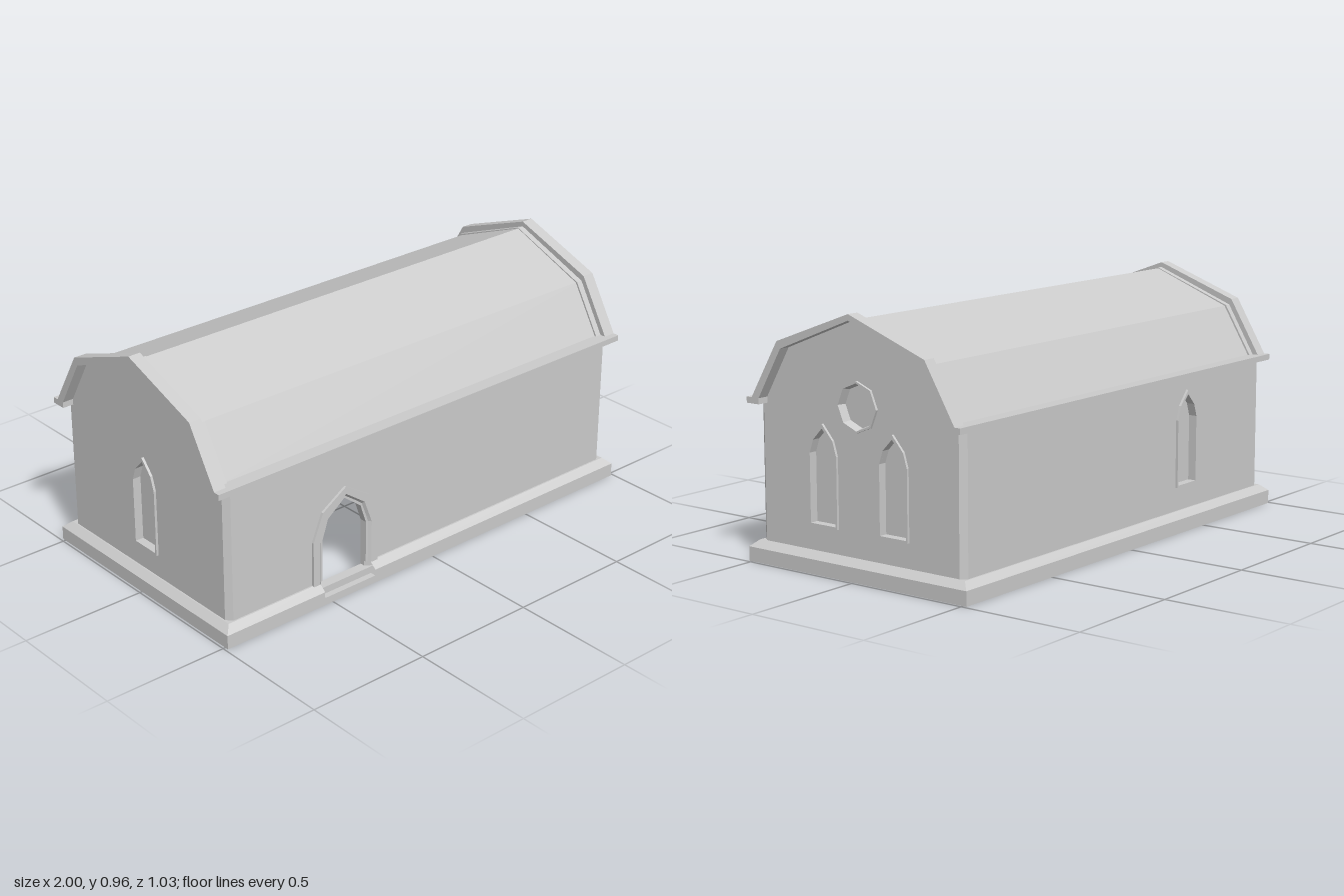
import * as THREE from 'three';

const material = new THREE.MeshStandardMaterial({ color: 0xcccccc, flatShading: true, side: THREE.DoubleSide });

const WALL = { x: 0.955, z: 0.48, base: 0.08, top: 0.6, thick: 0.03 };
const DOOR_X = -0.415;

function add(parent, name, geometry) {
  const mesh = new THREE.Mesh(geometry, material);
  mesh.name = name;
  parent.add(mesh);
  return mesh;
}

const toShape = (pts) => new THREE.Shape(pts.map(([x, y]) => new THREE.Vector2(x, y)));

function extrude(pts, depth, holes = []) {
  const shape = toShape(pts);
  shape.holes = holes.map((h) => toShape(h));
  return new THREE.ExtrudeGeometry(shape, { depth, bevelEnabled: false });
}

// Skin a list of matching point loops
function loft(loops, closed) {
  const pos = [];
  const n = loops[0].length;
  for (let i = 0; i < loops.length - 1; i++) {
    for (let j = 0; j < (closed ? n : n - 1); j++) {
      const k = (j + 1) % n;
      const [a, b, c, d] = [loops[i][j], loops[i][k], loops[i + 1][k], loops[i + 1][j]];
      pos.push(...a, ...b, ...c, ...a, ...c, ...d);
    }
  }
  const geometry = new THREE.BufferGeometry();
  geometry.setAttribute('position', new THREE.Float32BufferAttribute(pos, 3));
  geometry.computeVertexNormals();
  return geometry;
}

// Pointed arch, from the right foot over the peak to the left foot
const arch = (cx, w, foot, spring, m, my, peak) => [
  [cx + w, foot], [cx + w, spring], [cx + m, my], [cx, peak],
  [cx - m, my], [cx - w, spring], [cx - w, foot],
];

const lancet = (cx) => ({
  name: 'lancetWindow',
  outer: arch(cx, 0.0675, 0.173, 0.44, 0.05, 0.495, 0.552),
  inner: arch(cx, 0.06, 0.182, 0.44, 0.043, 0.49, 0.535),
});

const octagon = (r) => Array.from({ length: 8 }, (_, i) => {
  const a = (i * Math.PI) / 4 + Math.PI / 2;
  return [r * Math.cos(a), 0.63 + r * Math.sin(a)];
});
const rose = { name: 'roundWindow', outer: octagon(0.094), inner: octagon(0.086), back: octagon(0.078) };

const atDepth = (pts, z) => pts.map(([x, y]) => [x, y, z]);

// Wall whose outer face is local z = 0, with framed and glazed windows
function wall(name, outline, windows) {
  const group = new THREE.Group();
  group.name = name;
  const t = WALL.thick;
  add(group, 'wallPanel', extrude(outline, t, windows.map((w) => w.inner))).position.z = -t;
  for (const w of windows) {
    const back = w.back || w.inner;
    add(group, w.name + 'Frame', loft([
      atDepth(w.outer, 0), atDepth(w.outer, 0.01), atDepth(w.inner, 0.01), atDepth(back, -t),
    ], true));
    add(group, w.name + 'Pane', new THREE.ShapeGeometry(toShape(w.inner))).position.z = -0.024;
  }
  return group;
}

export function createModel() {
  const model = new THREE.Group();
  model.name = 'gambrelHall';

  // Front wall with the door cut out of its lower edge
  const opening = arch(DOOR_X, 0.105, WALL.base, 0.25, 0.078, 0.33, 0.39);
  const sideX = 0.935;
  const sideTop = [[sideX, WALL.base], [sideX, WALL.top], [-sideX, WALL.top], [-sideX, WALL.base]];
  const front = wall('frontWall', [...sideTop, ...[...opening].reverse()], []);
  front.position.z = WALL.z;
  model.add(front);

  // Door frame: flat outer band, then a splayed reveal
  const band = arch(DOOR_X, 0.155, 0.075, 0.26, 0.11, 0.37, 0.44);
  const step = arch(DOOR_X, 0.125, 0.06, 0.25, 0.09, 0.345, 0.41);
  const jamb = arch(DOOR_X, 0.105, 0.06, 0.25, 0.078, 0.33, 0.39);
  add(front, 'doorFrame', loft([
    atDepth(band, 0), atDepth(band, 0.01), atDepth(step, 0.01), atDepth(jamb, -0.01), atDepth(jamb, -WALL.thick),
  ], false));

  // Back wall
  const back = wall('backWall', sideTop, [lancet(-DOOR_X)]);
  back.position.z = -WALL.z;
  back.rotation.y = Math.PI;
  model.add(back);

  // Gable walls
  const gable = [
    [-0.457, WALL.base], [0.457, WALL.base], [0.457, 0.61], [0.335, 0.815],
    [0, 0.945], [-0.335, 0.815], [-0.457, 0.61],
  ];
  for (const s of [1, -1]) {
    const windows = s > 0 ? [lancet(0.165), lancet(-0.165), rose] : [lancet(0)];
    const end = wall(s > 0 ? 'leftGable' : 'rightGable', gable, windows);
    end.position.x = s * WALL.x;
    end.rotation.y = (s * Math.PI) / 2;
    model.add(end);
  }

  // Chamfered wall corners
  for (const sx of [1, -1]) {
    for (const sz of [1, -1]) {
      const pts = [[0.925, 0.45], [0.955, 0.457], [0.935, 0.48]].map(([x, z]) => [sx * x, -sz * z]);
      const corner = add(model, 'wallCorner', extrude(pts, WALL.top - WALL.base));
      corner.rotation.x = -Math.PI / 2;
      corner.position.y = WALL.base;
    }
  }

  // Gambrel roof and gable parapets: mirrored half profiles run along x
  const mirrored = (outer, inner) => {
    const flip = (pts) => pts.map(([x, y]) => [-x, y]);
    return [
      ...outer, ...[...inner].reverse(), ...flip(inner).slice(1), ...flip(outer).reverse().slice(0, -1),
    ];
  };
  const alongX = (name, pts, x0, x1) => {
    const mesh = add(model, name, extrude(pts, x1 - x0));
    mesh.rotation.y = Math.PI / 2;
    mesh.position.x = x0;
  };
  const roof = mirrored(
    [[0, 0.942], [0.328, 0.812], [0.443, 0.62], [0.5, 0.62], [0.5, 0.597]],
    [[0, 0.915], [0.31, 0.79], [0.425, 0.597]],
  );
  alongX('roof', roof, -0.951, 0.951);
  const parapet = mirrored(
    [[0, 0.965], [0.345, 0.838], [0.475, 0.62], [0.5, 0.62], [0.5, 0.597]],
    [[0, 0.942], [0.328, 0.812], [0.44, 0.62], [0.44, 0.597]],
  );
  alongX('leftParapet', parapet, 0.95, 1);
  alongX('rightParapet', parapet, -1, -0.95);

  // Hollow plinth around the walls, interrupted at the door
  const profile = [[0.035, 0], [0.035, 0.055], [0.006, 0.08], [-0.03, 0.08], [0.005, 0.055], [0.005, 0], [0.035, 0]];
  const gap = 0.1225;
  const plinth = profile.map(([o, y]) => {
    const x = WALL.x + o;
    const z = WALL.z + o;
    return [
      [DOOR_X + gap, y, z], [x, y, z], [x, y, -z], [-x, y, -z], [-x, y, z], [DOOR_X - gap, y, z],
    ];
  });
  add(model, 'plinth', loft(plinth, false));

  // Door step and threshold
  const slab = (name, height, z0, z1) => {
    add(model, name, new THREE.BoxGeometry(2 * gap, height, z1 - z0))
      .position.set(DOOR_X, height / 2, (z0 + z1) / 2);
  };
  slab('doorStep', 0.03, 0.485, 0.515);
  slab('threshold', 0.058, 0.45, 0.49);

  return model;
}
